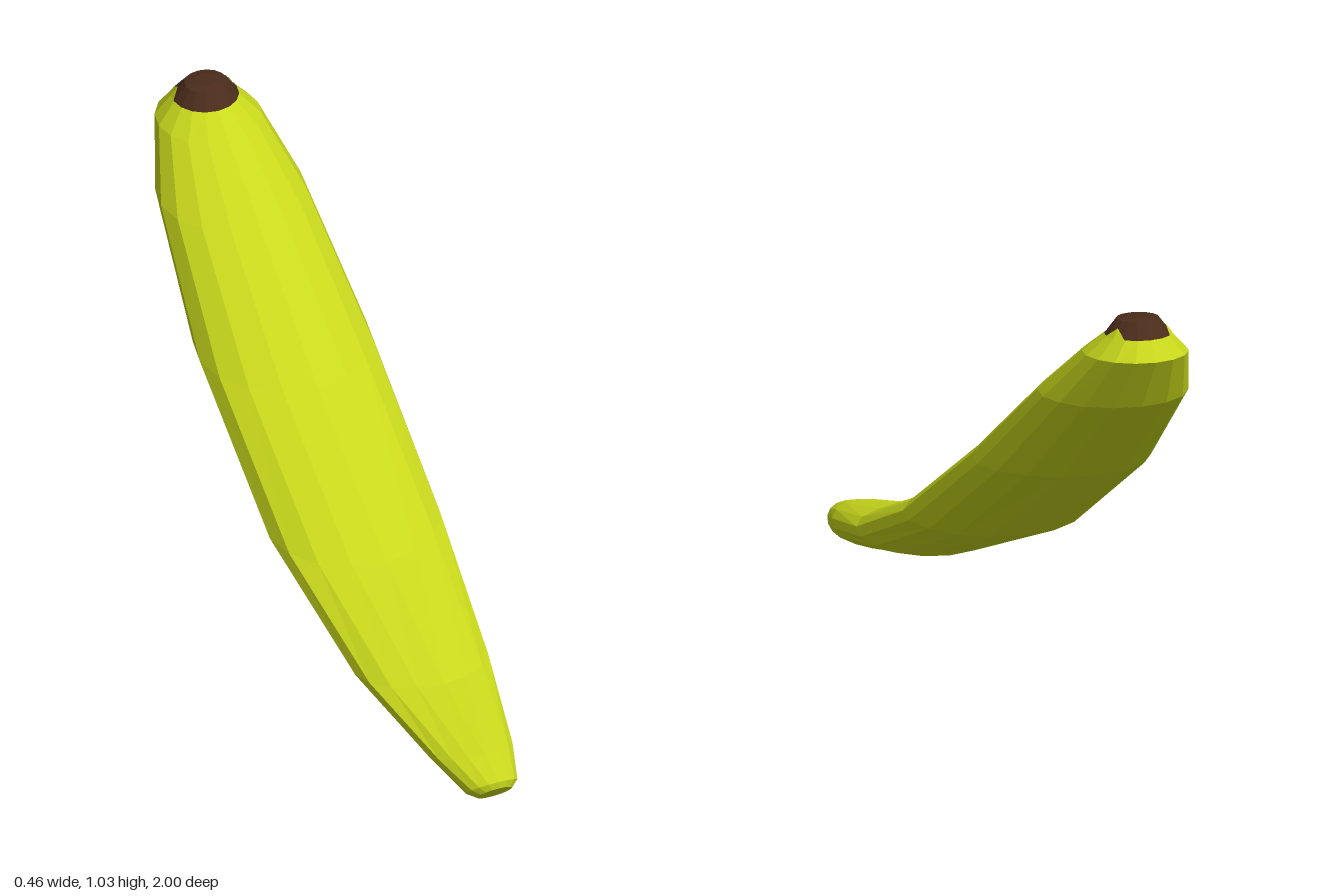
import * as THREE from 'three';

const SIDES = 16;

// Point on an elliptical ring given as [zInner, yInner, zOuter, yOuter, halfWidth]
function ringPoint([z0, y0, z1, y1, w], step) {
  const a = (step / SIDES) * Math.PI * 2;
  const c = Math.cos(a) / 2;
  return [w * Math.sin(a), (y0 + y1) / 2 + c * (y0 - y1), (z0 + z1) / 2 + c * (z0 - z1)];
}

function makeMesh(name, positions, material) {
  const geometry = new THREE.BufferGeometry();
  geometry.setAttribute('position', new THREE.Float32BufferAttribute(positions, 3));
  geometry.computeVertexNormals();
  const mesh = new THREE.Mesh(geometry, material);
  mesh.name = name;
  return mesh;
}

// Closed, faceted skin through a list of rings
function loft(name, rings, material) {
  const pos = [];
  const centre = ([z0, y0, z1, y1]) => [0, (y0 + y1) / 2, (z0 + z1) / 2];
  const first = rings[0], last = rings[rings.length - 1];
  for (let i = 0; i < SIDES; i++) {
    for (let r = 0; r < rings.length - 1; r++) {
      const a = ringPoint(rings[r], i), b = ringPoint(rings[r], i + 1);
      const c = ringPoint(rings[r + 1], i), d = ringPoint(rings[r + 1], i + 1);
      pos.push(...a, ...b, ...d, ...a, ...d, ...c);
    }
    pos.push(...centre(first), ...ringPoint(first, i + 1), ...ringPoint(first, i));
    pos.push(...centre(last), ...ringPoint(last, i), ...ringPoint(last, i + 1));
  }
  return makeMesh(name, pos, material);
}

export function createModel() {
  const group = new THREE.Group();
  group.name = 'banana';
  const peel = new THREE.MeshStandardMaterial({ color: 0xc8d81c, flatShading: true });
  const brown = new THREE.MeshStandardMaterial({ color: 0x4a2c1a, flatShading: true });
  const notchPeel = peel.clone();
  notchPeel.side = THREE.DoubleSide;

  // Curved body, from the blunt low tip to the raised stem end
  group.add(loft('peel', [
    [1.0, 0.07, 0.945, 0.008, 0.046],
    [1.0, 0.09, 0.91, 0.003, 0.068],
    [0.91, 0.115, 0.73, 0.03, 0.108],
    [0.65, 0.165, 0.33, 0.11, 0.176],
    [0.28, 0.3, -0.16, 0.283, 0.226],
    [-0.16, 0.55, -0.61, 0.55, 0.228],
    [-0.53, 0.803, -0.91, 0.803, 0.191],
    [-0.73, 0.94, -1.0, 0.94, 0.135],
    [-0.8, 0.99, -0.965, 0.99, 0.085],
  ], peel));

  // Brown stem cap
  const capBase = [-0.8, 0.99, -0.965, 0.99, 0.086];
  const capTop = [-0.83, 1.03, -0.93, 1.03, 0.055];
  group.add(loft('stemCap', [capBase, capTop, [-0.855, 1.036, -0.905, 1.036, 0.028]], brown));

  // Small points of peel that lap over each side of the cap
  const lapBase = [-0.798, 0.99, -0.967, 0.99, 0.088];
  const lapTop = [-0.818, 1.014, -0.946, 1.014, 0.071];
  for (const side of [1, -1]) {
    const pos = [];
    for (const [p, q] of [[4, 5], [5, 6]]) {
      for (const point of [ringPoint(lapBase, p), ringPoint(lapBase, q), ringPoint(lapTop, 5)]) {
        pos.push(point[0] * side, point[1], point[2]);
      }
    }
    group.add(makeMesh(side > 0 ? 'leftPeelLap' : 'rightPeelLap', pos, notchPeel));
  }
  return group;
}
